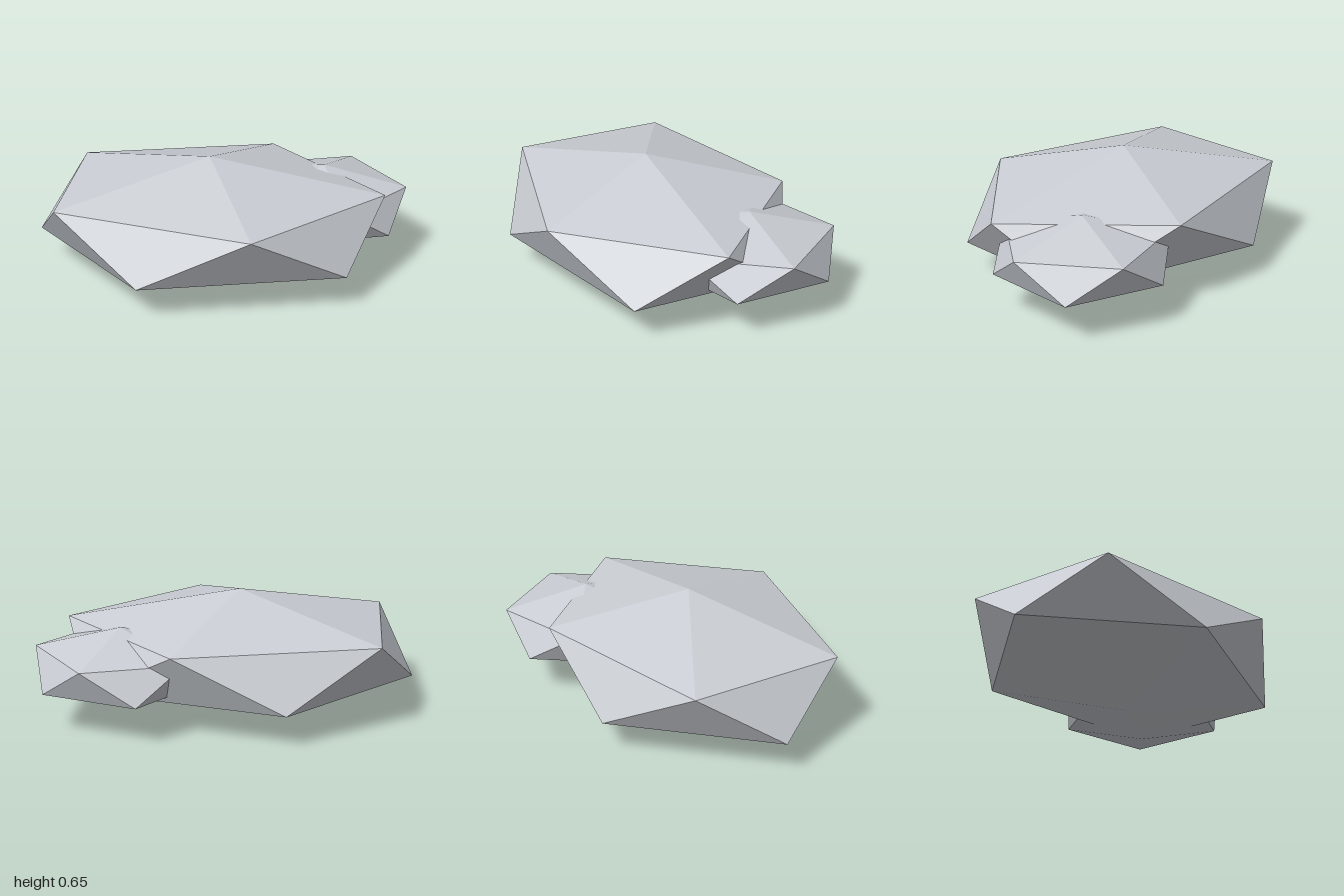
import * as THREE from 'three';

const stone = new THREE.MeshStandardMaterial({ color: 0xcaced4, flatShading: true });
stone.name = 'stoneGrey';

// Squashed 20-sided boulder: two poles and two staggered rings of five corners
function boulder(name, [x, y, z], ringX, ringZ, halfHeight) {
  const ringY = halfHeight * 0.447;
  const corner = (step, h) => {
    const a = (step * Math.PI) / 5;
    return [Math.cos(a) * ringX, h, Math.sin(a) * ringZ];
  };
  const top = [0, halfHeight, 0];
  const bottom = [0, -halfHeight, 0];
  const points = [];
  for (let k = 0; k < 5; k++) {
    const u0 = corner(2 * k, ringY);
    const u1 = corner(2 * k + 2, ringY);
    const l0 = corner(2 * k + 1, -ringY);
    const l1 = corner(2 * k + 3, -ringY);
    points.push(top, u1, u0, u0, u1, l0, u1, l1, l0, l0, l1, bottom);
  }
  const geometry = new THREE.BufferGeometry();
  geometry.setAttribute('position', new THREE.Float32BufferAttribute(points.flat(), 3));
  geometry.computeVertexNormals();
  const mesh = new THREE.Mesh(geometry, stone);
  mesh.name = name;
  mesh.position.set(x, y, z);
  return mesh;
}

export function createModel() {
  const group = new THREE.Group();
  group.name = 'rocks';
  group.add(
    boulder('largeRock', [-0.06, 0.324, 0.022], 0.94, 0.723, 0.323),
    boulder('smallRock', [0.543, 0.304, -0.281], 0.455, 0.452, 0.201)
  );
  return group;
}
